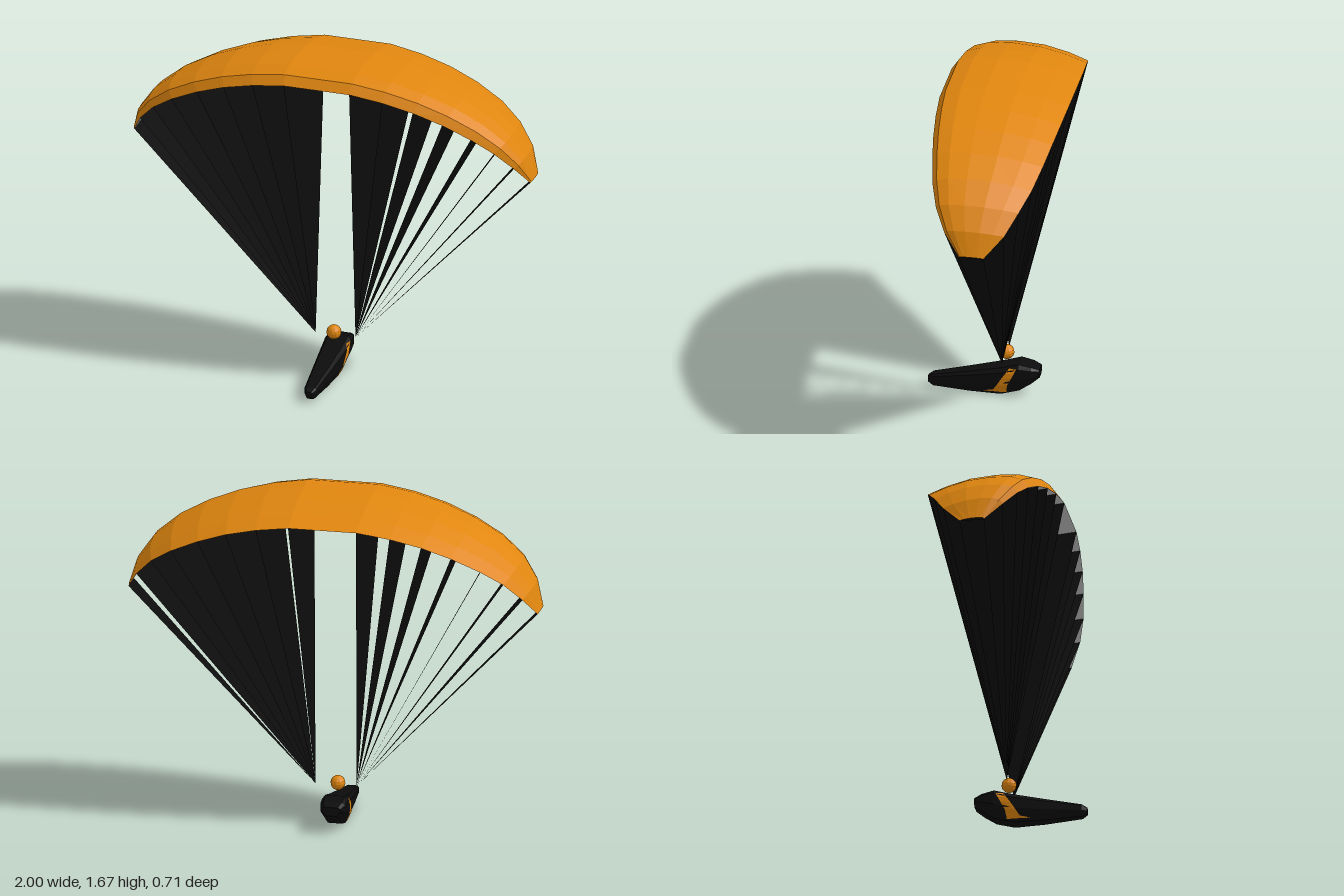
import * as THREE from 'three';

// Flat-faceted surface over a grid of points; it faces along (row step) x (column step).
function gridGeometry(rows, flip = false) {
  const pos = [];
  const tri = (a, b, c) => (flip ? [a, c, b] : [a, b, c]).forEach((p) => pos.push(...p));
  for (let i = 0; i < rows.length - 1; i++) {
    for (let j = 0; j < rows[i].length - 1; j++) {
      const a = rows[i][j], b = rows[i + 1][j], c = rows[i + 1][j + 1], d = rows[i][j + 1];
      tri(a, b, c);
      tri(a, c, d);
    }
  }
  const g = new THREE.BufferGeometry();
  g.setAttribute('position', new THREE.Float32BufferAttribute(pos, 3));
  g.computeVertexNormals();
  return g;
}

// Canopy ribs, centre to tip: lower x, lower y, upper x, upper y, leading z, trailing z
const HALF_RIBS = [
  [0.165, 1.6, 0.17, 1.67, 0.27, -0.355],
  [0.325, 1.575, 0.34, 1.645, 0.26, -0.345],
  [0.475, 1.537, 0.5, 1.603, 0.245, -0.33],
  [0.615, 1.485, 0.65, 1.545, 0.225, -0.31],
  [0.75, 1.418, 0.785, 1.472, 0.2, -0.28],
  [0.855, 1.345, 0.893, 1.383, 0.165, -0.235],
  [0.937, 1.255, 0.965, 1.28, 0.11, -0.18],
  [0.993, 1.157, 1.0, 1.163, 0.03, -0.09],
];
// Wing section: distance along the chord, height as a share of thickness
const UPPER = [[0, 0], [0.05, 0.64], [0.17, 0.93], [0.36, 1], [0.6, 0.87], [0.82, 0.48], [1, 0]];
const LOWER = [[0, 0], [0.12, -0.09], [0.4, -0.09], [1, 0]];

// Harness pod sections, feet to back: z, bottom, top, half width
const POD = [
  [0.355, 0.03, 0.06, 0.016],
  [0.33, 0.015, 0.075, 0.03],
  [0.15, 0.005, 0.112, 0.047],
  [0, 0.004, 0.145, 0.06],
  [-0.09, 0.03, 0.17, 0.064],
  [-0.15, 0.07, 0.157, 0.06],
  [-0.187, 0.1, 0.143, 0.045],
];
// Pod outline on one side: share of half width, share of height
const POD_SIDE = [[0.55, 0], [1, 0.45], [1, 0.85], [0.75, 1]];
const POD_X = -0.01;

// Half width of the pod at a given z and y
function podHalfWidth(z, y) {
  let i = 0;
  while (i < POD.length - 2 && z < POD[i + 1][0]) i++;
  const t = (z - POD[i][0]) / (POD[i + 1][0] - POD[i][0]);
  const [, bottom, top, w] = POD[i].map((v, k) => THREE.MathUtils.lerp(v, POD[i + 1][k], t));
  const h = THREE.MathUtils.clamp((y - bottom) / (top - bottom), 0, 1);
  let k = 0;
  while (k < 2 && h > POD_SIDE[k + 1][1]) k++;
  const [x0, h0] = POD_SIDE[k], [x1, h1] = POD_SIDE[k + 1];
  return w * THREE.MathUtils.lerp(x0, x1, (h - h0) / (h1 - h0));
}

export function createModel() {
  const orange = new THREE.MeshStandardMaterial({ color: 0xe0860f, flatShading: true });
  orange.name = 'orange fabric';
  const grey = new THREE.MeshStandardMaterial({ color: 0xc8c8c8, flatShading: true });
  grey.name = 'light grey fabric';
  const black = new THREE.MeshStandardMaterial({ color: 0x0c0c0c, flatShading: true, side: THREE.DoubleSide });
  black.name = 'black';

  const model = new THREE.Group();
  model.name = 'paraglider';
  const add = (name, geometry, material, parent = model) => {
    const mesh = new THREE.Mesh(geometry, material);
    mesh.name = name;
    parent.add(mesh);
    return mesh;
  };

  // Canopy skins, lofted from right tip to left tip
  const mirrored = HALF_RIBS.map(([lx, ly, ux, uy, f, b]) => [-lx, ly, -ux, uy, f, b]).reverse();
  const ribs = [...mirrored, ...HALF_RIBS];
  const skin = (section) => ribs.map(([lx, ly, ux, uy, front, back]) =>
    section.map(([s, h]) => [lx + (ux - lx) * h, ly + (uy - ly) * h, front + (back - front) * s]));
  const canopy = new THREE.Group();
  canopy.name = 'canopy';
  model.add(canopy);
  add('canopyTop', gridGeometry(skin(UPPER)), orange, canopy);
  add('canopyUnderside', gridGeometry(skin(LOWER), true), grey, canopy);

  // Suspension lines: one sheet per rib, gathered at the riser on its side
  const lines = new THREE.Group();
  lines.name = 'suspensionLines';
  model.add(lines);
  for (const [x, y, , , front, back] of ribs) {
    const sheet = new THREE.BufferGeometry();
    sheet.setAttribute('position', new THREE.Float32BufferAttribute(
      [Math.sign(x) * 0.1, 0.2, -0.02, x, y, front, x, y, back], 3));
    sheet.computeVertexNormals();
    add('lineSheet', sheet, black, lines);
  }

  // Harness pod with closed ends
  const rings = POD.map(([z, bottom, top, w]) => {
    const side = (s) => POD_SIDE.map(([fx, h]) => [POD_X + s * fx * w, bottom + (top - bottom) * h, z]);
    const ring = [...side(1), ...side(-1).reverse()];
    return [...ring, ring[0]];
  });
  const collapse = (ring, [z, bottom, top]) => ring.map(() => [POD_X, (bottom + top) / 2, z]);
  rings.unshift(collapse(rings[0], POD[0]));
  rings.push(collapse(rings[rings.length - 1], POD[POD.length - 1]));
  add('harnessPod', gridGeometry(rings), black);

  // Slanted stripe on each side of the pod: y, back z, front z
  const stripe = [[0.018, -0.03, 0.09], [0.03, -0.03, 0.035], [0.06, -0.035, 0.015],
    [0.1, -0.055, -0.01], [0.125, -0.068, -0.028], [0.15, -0.08, -0.045]];
  for (const s of [1, -1]) {
    const rows = stripe.map(([y, back, front]) => [0, 0.25, 0.5, 0.75, 1].map((t) => {
      const z = back + (front - back) * t;
      return [POD_X + s * (podHalfWidth(z, y) + 0.003), y, z];
    }));
    add(s > 0 ? 'leftStripe' : 'rightStripe', gridGeometry(rows, s < 0), orange);
  }

  // Pilot's helmet
  add('helmet', new THREE.SphereGeometry(0.036, 12, 8), orange).position.set(POD_X, 0.213, -0.025);

  return model;
}
